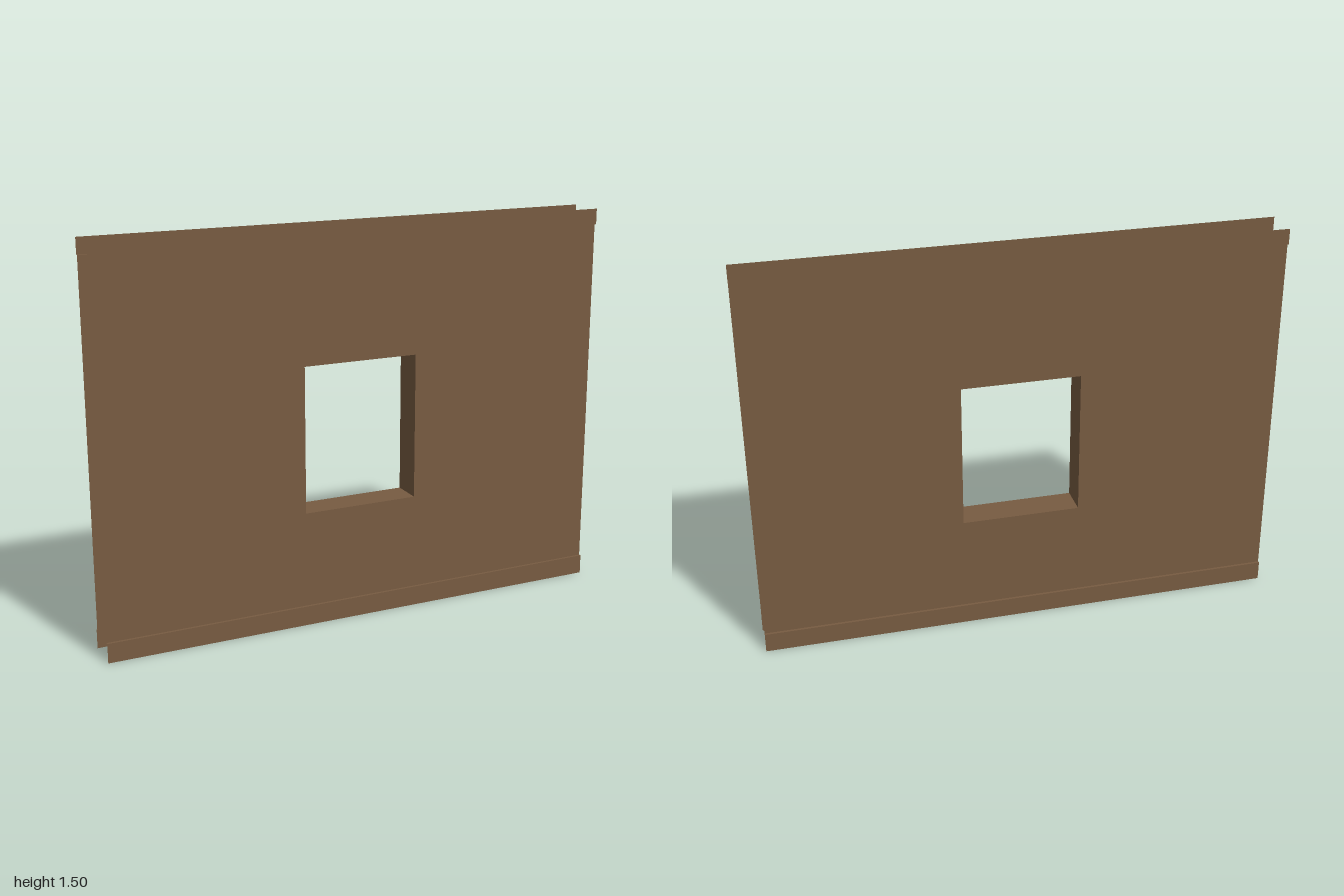
import * as THREE from 'three';

const WIDTH = 2, HEIGHT = 1.5;
const PANEL_Z = 0.06, TRIM_Z = 0.07;      // distance of panel and trim faces from the middle
const PANEL_BOTTOM = 0.075, PANEL_TOP = 1.44;
const WIN = { x: 0.225, bottom: 0.442, top: 1.0 };

export function createModel() {
  const group = new THREE.Group();
  const wood = new THREE.MeshStandardMaterial({ color: 0x785c42, side: THREE.DoubleSide });
  wood.name = 'brownWood';

  const add = (parent, name, geometry, x = 0, y = 0, z = 0) => {
    const mesh = new THREE.Mesh(geometry, wood);
    mesh.name = name;
    mesh.position.set(x, y, z);
    parent.add(mesh);
    return mesh;
  };

  // Rectangle outline from two corners
  const rect = (PathType, x0, y0, x1, y1) => new PathType([
    new THREE.Vector2(x0, y0), new THREE.Vector2(x1, y0),
    new THREE.Vector2(x1, y1), new THREE.Vector2(x0, y1),
  ]);

  // One wall skin: holed panel, with a raised trim strip along top and bottom
  const makeSkin = (name) => {
    const skin = new THREE.Group();
    skin.name = name;
    const panel = rect(THREE.Shape, -WIDTH / 2, PANEL_BOTTOM, WIDTH / 2, PANEL_TOP);
    panel.holes.push(rect(THREE.Path, -WIN.x, WIN.bottom, WIN.x, WIN.top));
    add(skin, 'wallPanel', new THREE.ShapeGeometry(panel), 0, 0, PANEL_Z);

    for (const [label, y0, y1, ledgeY, tilt] of [
      ['bottom', 0, PANEL_BOTTOM, PANEL_BOTTOM, -1],
      ['top', PANEL_TOP, HEIGHT, PANEL_TOP, 1],
    ]) {
      add(skin, label + 'Trim', new THREE.PlaneGeometry(WIDTH, y1 - y0), 0, (y0 + y1) / 2, TRIM_Z);
      const ledge = new THREE.PlaneGeometry(WIDTH, TRIM_Z - PANEL_Z).rotateX(tilt * Math.PI / 2);
      add(skin, label + 'TrimLedge', ledge, 0, ledgeY, (PANEL_Z + TRIM_Z) / 2);
    }
    return skin;
  };

  const front = makeSkin('frontSkin');
  const back = makeSkin('backSkin');
  back.rotation.y = Math.PI;
  group.add(front, back);

  // Window reveal joining both skins, normals facing into the opening
  const reveal = new THREE.Group();
  reveal.name = 'windowReveal';
  const depth = PANEL_Z * 2, h = WIN.top - WIN.bottom, midY = (WIN.top + WIN.bottom) / 2;
  for (const s of [-1, 1]) {
    add(reveal, s < 0 ? 'rightJamb' : 'leftJamb',
      new THREE.PlaneGeometry(depth, h).rotateY(-s * Math.PI / 2), s * WIN.x, midY);
    add(reveal, s < 0 ? 'windowSill' : 'windowHead',
      new THREE.PlaneGeometry(WIN.x * 2, depth).rotateX(s * Math.PI / 2), 0, midY + s * h / 2);
  }
  group.add(reveal);

  return group;
}
